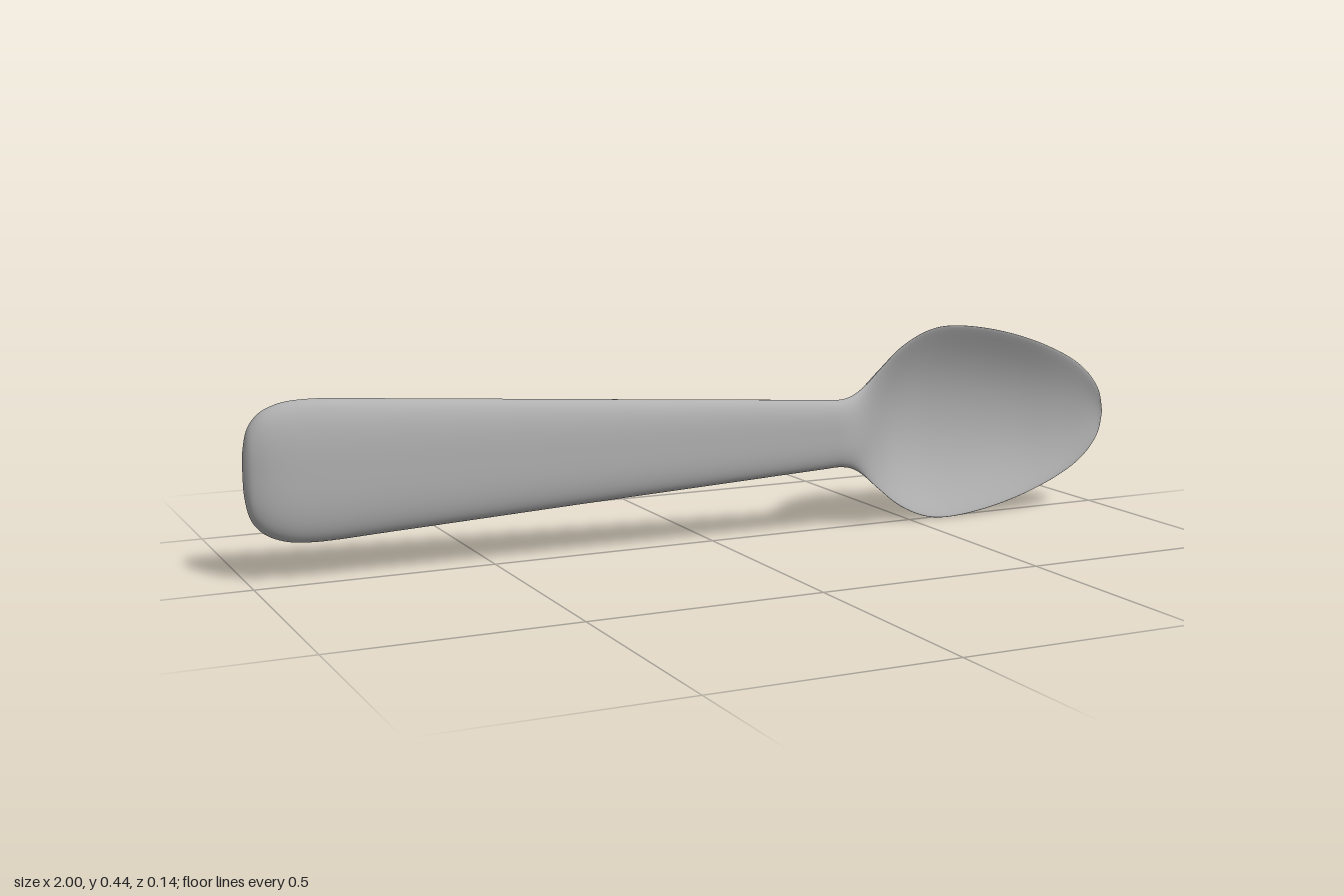
import * as THREE from 'three';

const CENTRE_Y = 0.2215;
const RING = 72; // points around each cross-section
const STEPS = 7; // sections between neighbouring stations

// Stations along the spoon: x, half width, edge z, front z, back z, bowl amount (0 handle, 1 bowl)
const STATIONS = [
  [-1.0, 0, -0.05, -0.05, -0.05, 0],
  [-0.999, 0.05, -0.051, -0.038, -0.062, 0],
  [-0.985, 0.1, -0.05, -0.022, -0.067, 0],
  [-0.945, 0.133, -0.045, -0.007, -0.068, 0],
  [-0.87, 0.145, -0.037, 0.002, -0.063, 0],
  [-0.7, 0.136, -0.026, 0.012, -0.051, 0],
  [-0.3, 0.111, 0.0, 0.034, -0.025, 0],
  [0.1, 0.0865, 0.027, 0.055, 0.002, 0],
  [0.24, 0.078, 0.036, 0.063, 0.011, 0],
  [0.3, 0.076, 0.04, 0.064, 0.014, 0.05],
  [0.345, 0.092, 0.037, 0.05, 0.004, 0.35],
  [0.4, 0.136, 0.029, 0.014, -0.025, 0.8],
  [0.46, 0.181, 0.019, -0.025, -0.053, 1],
  [0.53, 0.213, 0.014, -0.047, -0.068, 1],
  [0.6, 0.2215, 0.013, -0.052, -0.07, 1],
  [0.7, 0.209, 0.017, -0.044, -0.062, 1],
  [0.8, 0.182, 0.023, -0.026, -0.045, 1],
  [0.89, 0.144, 0.03, 0.001, -0.017, 1],
  [0.95, 0.104, 0.035, 0.021, 0.008, 1],
  [0.988, 0.054, 0.039, 0.034, 0.027, 1],
  [1.0, 0, 0.041, 0.041, 0.041, 1],
];

// Smooth interpolation of all station values
function stationAt(i, t) {
  const at = (k) => STATIONS[Math.max(0, Math.min(STATIONS.length - 1, k))];
  const [p, a, b, n] = [at(i - 1), at(i), at(i + 1), at(i + 2)];
  return a.map((v, k) => {
    const m0 = (b[k] - p[k]) / 2;
    const m1 = (n[k] - a[k]) / 2;
    const t2 = t * t, t3 = t2 * t;
    return (2 * t3 - 3 * t2 + 1) * v + (t3 - 2 * t2 + t) * m0
      + (3 * t2 - 2 * t3) * b[k] + (t3 - t2) * m1;
  });
}

// One closed cross-section: rounded slab for the handle, thin dish for the bowl
function addRing(positions, [x, w, edge, front, back, bowl]) {
  const mix = THREE.MathUtils.clamp(bowl, 0, 1);
  const halfWidth = Math.max(0, w);
  const lip = 0.007 * mix * Math.min(1, halfWidth / 0.08);
  for (let j = 0; j < RING; j++) {
    const angle = (j / RING) * Math.PI * 2;
    const v = Math.cos(angle);
    const u = Math.min(1, Math.abs(v));
    const side = Math.sin(angle) >= 0 ? 1 : -1;
    const slab = Math.pow(1 - u ** 3, 0.45);
    const dish = 1 - u ** 2.1;
    const shape = THREE.MathUtils.lerp(slab, dish, mix);
    const centre = side > 0 ? front : back;
    const z = edge + (centre - edge - side * lip) * shape + side * lip * Math.sqrt(1 - u ** 8);
    positions.push(x, CENTRE_Y + halfWidth * v, z);
  }
}

function spoonGeometry() {
  const positions = [];
  const index = [];
  const spans = STATIONS.length - 1;
  for (let i = 0; i < spans; i++) {
    for (let s = 0; s < STEPS; s++) addRing(positions, stationAt(i, s / STEPS));
  }
  addRing(positions, STATIONS[spans]);
  for (let i = 0; i < spans * STEPS; i++) {
    for (let j = 0; j < RING; j++) {
      const k = (j + 1) % RING;
      const a = i * RING + j, b = i * RING + k;
      index.push(a, b, a + RING, b, b + RING, a + RING);
    }
  }
  const geometry = new THREE.BufferGeometry();
  geometry.setAttribute('position', new THREE.Float32BufferAttribute(positions, 3));
  geometry.setIndex(index);
  geometry.computeVertexNormals();
  return geometry;
}

export function createModel() {
  const metal = new THREE.MeshStandardMaterial({ color: 0xb0b0b0 });
  metal.name = 'grey metal';

  // Handle, neck and bowl are one continuous surface
  const spoon = new THREE.Mesh(spoonGeometry(), metal);
  spoon.name = 'spoonHandleAndBowl';

  const group = new THREE.Group();
  group.name = 'spoon';
  group.add(spoon);
  return group;
}
